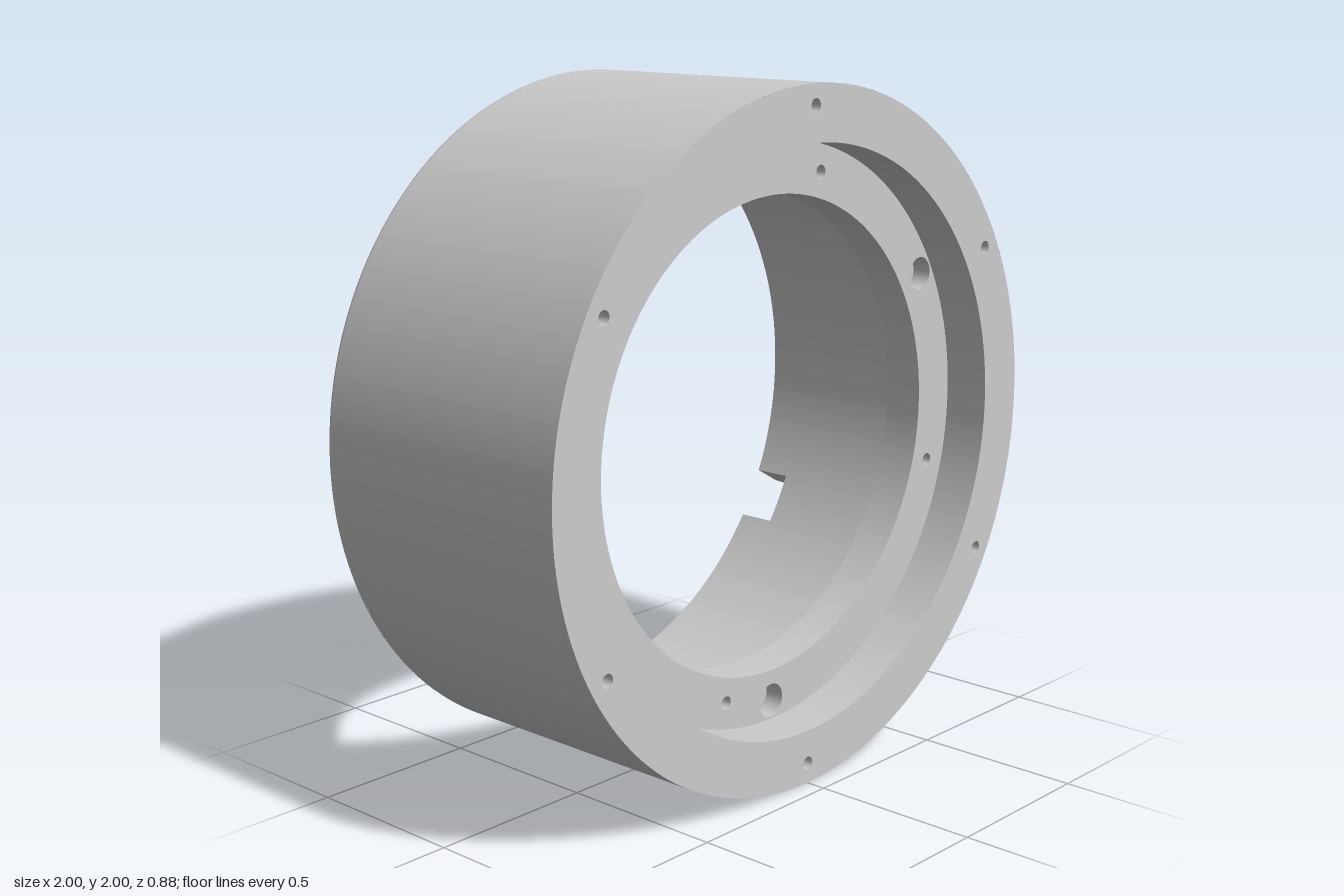
import * as THREE from 'three';
import { ParametricGeometry } from 'three/addons/geometries/ParametricGeometry.js';

const PI2 = Math.PI * 2;
const rad = (d) => (d * Math.PI) / 180;
const polar = (r, deg) => [r * Math.cos(rad(deg)), r * Math.sin(rad(deg))];

// Main sizes; the ring's axis is z
const R = 1, BORE = 0.885, RECESS = 0.84, LIP = 0.69;
const FRONT = 0.44, BACK = -0.44, FLOOR = 0.3, FLANGE_BACK = 0.18, FILLET = 0.02;
const NOTCH = rad(-30), NOTCH_HALF = 0.08, NOTCH_Z = -0.32;
const SIDE_HOLES = [rad(250), rad(290)], SIDE_Z = 0.06, SIDE_R = 0.025, PATCH = 0.06;

export function createModel() {
  const model = new THREE.Group();
  const material = new THREE.MeshStandardMaterial({ color: 0xcccccc, side: THREE.DoubleSide });

  const add = (name, geometry) => {
    const mesh = new THREE.Mesh(geometry, material);
    mesh.name = name;
    model.add(mesh);
    return mesh;
  };
  const flip = (g) => {
    g.scale(1, 1, -1);
    g.index.array.reverse();
    return g;
  };

  // Cylinder wall about z; faces outward when z0 < z1, inward otherwise
  const wall = (name, r, z0, z1, a0 = 0, a1 = PI2, cx = 0, cy = 0, full = 160) => {
    const n = Math.max(2, Math.ceil((full * (a1 - a0)) / PI2));
    return add(name, new ParametricGeometry((u, v, p) => {
      const a = a0 + u * (a1 - a0);
      p.set(cx + r * Math.cos(a), cy + r * Math.sin(a), z0 + v * (z1 - z0));
    }, n, 1));
  };

  // Flat face from a shape, with round holes given as [x, y, radius]
  const face = (name, shape, z, holes = [], back = false) => {
    for (const [x, y, r] of holes) shape.holes.push(new THREE.Path().absarc(x, y, r, 0, PI2, true));
    let g = new THREE.ShapeGeometry(shape, 80);
    if (back) g = flip(g);
    const mesh = add(name, g);
    mesh.position.z = z;
    return mesh;
  };
  const disc = (r, x = 0, y = 0) => new THREE.Shape().absarc(x, y, r, 0, PI2, false);
  const sector = (ro, a0, a1, ri, b0, b1) =>
    new THREE.Shape().absarc(0, 0, ro, a0, a1, false).absarc(0, 0, ri, b1, b0, true);

  // Blind hole running from an opening at z0 to a flat bottom at z1
  const blindHole = (name, [x, y, r], z0, z1) => {
    wall(name, r, Math.max(z0, z1), Math.min(z0, z1), 0, PI2, x, y, 24);
    face(name + 'Bottom', disc(r, x, y), z1, [], z1 > z0);
  };

  // Point on a cylinder of radius r beside a side hole's centre
  const around = (p, r, a, dx, dz) =>
    p.set(r * Math.cos(a + dx / r), r * Math.sin(a + dx / r), SIDE_Z + dz);

  // Full-length wall with the notch cut and the side holes left open
  const piercedWall = (name, r, zBack, zFront, outward) => {
    const piece = (z0, z1, a0, a1) =>
      outward ? wall(name, r, z0, z1, a0, a1) : wall(name, r, z1, z0, a0, a1);
    const n = Math.asin(NOTCH_HALF / r), h = PATCH / r;
    let a = NOTCH + n;
    for (const c of SIDE_HOLES) {
      piece(zBack, zFront, a, c - h);
      piece(zBack, SIDE_Z - PATCH, c - h, c + h);
      piece(SIDE_Z + PATCH, zFront, c - h, c + h);
      add(name + 'HoleSurround', new ParametricGeometry((u, v, p) => {
        const t = u * PI2 * (outward ? -1 : 1), x = Math.cos(t), y = Math.sin(t);
        const k = SIDE_R + v * (PATCH / Math.max(Math.abs(x), Math.abs(y)) - SIDE_R);
        around(p, r, c, k * x, k * y);
      }, 32, 2));
      a = c + h;
    }
    piece(zBack, zFront, a, NOTCH + PI2 - n);
    piece(NOTCH_Z, zFront, NOTCH - n, NOTCH + n);
  };

  const nOut = Math.asin(NOTCH_HALF / R), nIn = Math.asin(NOTCH_HALF / BORE);

  // Walls
  piercedWall('outerWall', R, BACK + FILLET, FRONT, true);
  piercedWall('rearBore', BORE, BACK, FLANGE_BACK, false);
  wall('frontRecessWall', RECESS, FRONT, FLOOR);
  wall('flangeBore', LIP, FLOOR, FLANGE_BACK);

  // Rounded outer edge at the back
  add('rearRoundedEdge', new ParametricGeometry((u, v, p) => {
    const a = NOTCH + nOut + u * (PI2 - 2 * nOut), t = (v * Math.PI) / 2;
    const r = R - FILLET + FILLET * Math.sin(t);
    p.set(r * Math.cos(a), r * Math.sin(a), BACK + FILLET - FILLET * Math.cos(t));
  }, 160, 6));

  // Radial side holes through the thin wall
  for (const c of SIDE_HOLES) {
    add('sideHole', new ParametricGeometry((u, v, p) => {
      const t = u * PI2;
      around(p, BORE + v * (R - BORE), c, SIDE_R * Math.cos(t), SIDE_R * Math.sin(t));
    }, 32, 1));
  }

  // Front rim with six blind holes
  const rimHoles = [30, 90, 150, 210, 270, 330].map((d) => [...polar(0.94, d), 0.02]);
  face('frontRim', disc(R), FRONT, [...rimHoles, [0, 0, RECESS]]);
  rimHoles.forEach((h) => blindHole('frontRimHole', h, FRONT, FRONT - 0.1));

  // Flange with three counterbored holes and four blind holes
  const bolts = [30, 150, 270].map((d) => polar(0.783, d));
  const pins = [75, 165, 255, 345].map((d) => [...polar(0.763, d), 0.02]);
  face('flangeFront', disc(RECESS), FLOOR,
    [...bolts.map((b) => [...b, 0.05]), ...pins, [0, 0, LIP]]);
  face('flangeBack', disc(BORE), FLANGE_BACK,
    [...bolts.map((b) => [...b, 0.028]), [0, 0, LIP]], true);
  pins.forEach((h) => blindHole('flangePinHole', h, FLOOR, FLOOR - 0.08));
  for (const [x, y] of bolts) {
    const seat = FLOOR - 0.06;
    wall('counterbore', 0.05, FLOOR, seat, 0, PI2, x, y, 32);
    face('counterboreSeat', disc(0.05, x, y), seat, [[x, y, 0.028]]);
    wall('boltHole', 0.028, seat, FLANGE_BACK, 0, PI2, x, y, 32);
  }

  // Back rim, open at the notch, with four blind holes
  const backHoles = [45, 135, 225, 315].map((d) => [...polar(0.945, d), 0.02]);
  face('backRim', sector(R - FILLET, NOTCH + nOut, NOTCH + PI2 - nOut,
    BORE, NOTCH + nIn, NOTCH + PI2 - nIn), BACK, backHoles, true);
  backHoles.forEach((h) => blindHole('backRimHole', h, BACK, BACK + 0.1));

  // Notch floor and its two parallel sides
  face('notchFloor', sector(R, NOTCH - nOut, NOTCH + nOut, BORE, NOTCH - nIn, NOTCH + nIn),
    NOTCH_Z, [], true);
  const ro = R * Math.cos(nOut), ri = BORE * Math.cos(nIn);
  const profile = new THREE.Shape().moveTo(ri, NOTCH_Z).lineTo(ri, BACK)
    .absarc(ro - FILLET, BACK + FILLET, FILLET, -Math.PI / 2, 0, false).lineTo(ro, NOTCH_Z);
  const along = new THREE.Vector3(Math.cos(NOTCH), Math.sin(NOTCH), 0);
  const axis = new THREE.Vector3(0, 0, 1);
  const across = new THREE.Vector3().crossVectors(along, axis);
  for (const s of [-1, 1]) {
    let g = new THREE.ShapeGeometry(profile, 6);
    if (s > 0) g = flip(g);
    g.applyMatrix4(new THREE.Matrix4().makeBasis(along, axis, across)
      .setPosition(across.clone().multiplyScalar(s * NOTCH_HALF)));
    add('notchSide', g);
  }

  model.position.y = R;
  const root = new THREE.Group();
  root.name = 'mountingRing';
  model.name = 'ringBody';
  root.add(model);
  return root;
}
